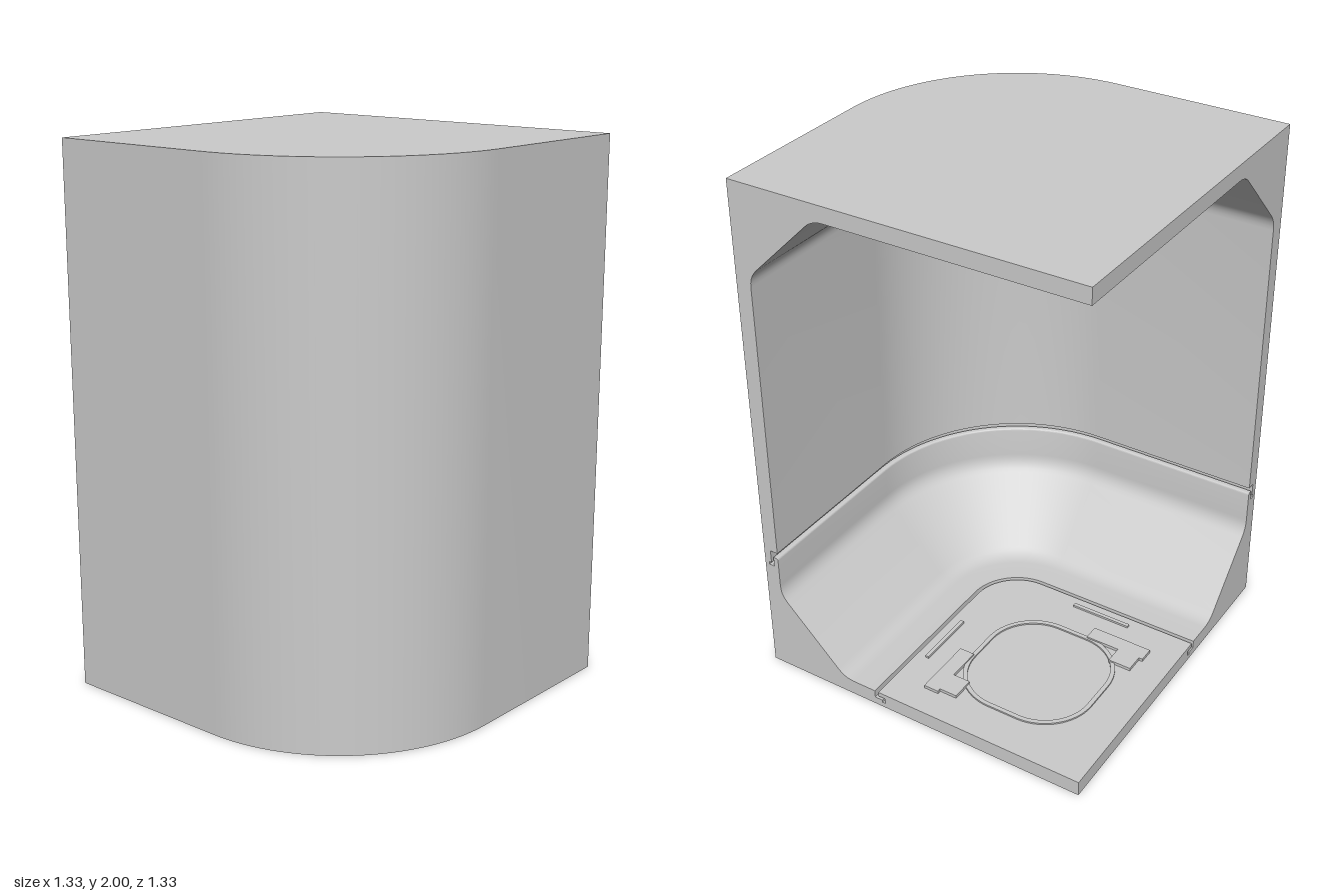
import * as THREE from 'three';
import { toCreasedNormals } from 'three/addons/utils/BufferGeometryUtils.js';

const H = 0.667;      // half width, also the radius of the rounded corner
const TOP = 2, T = 0.06; // height and wall thickness
const REACH = 0.56;   // how far the swept shell reaches inward
const material = new THREE.MeshStandardMaterial({ color: 0xcccccc });

function add(group, name, geometry) {
  const mesh = new THREE.Mesh(geometry, material);
  mesh.name = name;
  group.add(mesh);
}

// Closed section [inward distance, height, optional corner rounding], counter-clockwise
function roundedProfile(points) {
  const out = [];
  points.forEach(([d, y, r], i) => {
    const p = new THREE.Vector2(d, y);
    if (!r) return out.push(p);
    const towards = (q) => new THREE.Vector2(q[0], q[1]).sub(p).setLength(r).add(p);
    const a = towards(points[i - 1]), b = towards(points[i + 1]);
    out.push(...new THREE.QuadraticBezierCurve(a, p, b).getPoints(5));
  });
  return out;
}

// Sweep the section along two straight walls joined by a quarter-round corner
function sweepShell(profile) {
  const stations = [{ x: -H, z: H, a: 0 }];
  for (let i = 0; i <= 32; i++) {
    const a = (i / 32) * Math.PI / 2;
    stations.push({ x: H * Math.sin(a), z: H * Math.cos(a), a });
  }
  stations.push({ x: H, z: -H, a: Math.PI / 2 });

  const pos = [], idx = [], n = profile.length;
  for (const s of stations) {
    for (const p of profile) pos.push(s.x - Math.sin(s.a) * p.x, p.y, s.z - Math.cos(s.a) * p.x);
  }
  for (let s = 0; s < stations.length - 1; s++) {
    for (let i = 0; i < n; i++) {
      const a = s * n + i, b = s * n + (i + 1) % n;
      idx.push(a, b, b + n, a, b + n, a + n);
    }
  }
  // Cut faces at both ends
  const last = (stations.length - 1) * n;
  for (const [a, b, c] of THREE.ShapeUtils.triangulateShape(profile, [])) {
    idx.push(a, c, b, last + a, last + b, last + c);
  }
  const g = new THREE.BufferGeometry();
  g.setAttribute('position', new THREE.Float32BufferAttribute(pos, 3));
  g.setIndex(idx);
  return toCreasedNormals(g, 0.4);
}

// Horizontal slab from a plan outline measured from the cut corner
function slab(shape, y0, y1) {
  const g = new THREE.ExtrudeGeometry(shape, { depth: y1 - y0, bevelEnabled: false, curveSegments: 16 });
  g.rotateX(Math.PI / 2).translate(-H, y1, -H);
  return toCreasedNormals(g, 0.4);
}

function cornerPlate(size, r) {
  const s = new THREE.Shape();
  s.moveTo(0, 0).lineTo(size, 0).lineTo(size, size - r);
  s.absarc(size - r, size - r, r, 0, Math.PI / 2, false);
  s.lineTo(0, size);
  return s;
}

function roundedSquare(Type, c, h, r) {
  const s = new Type();
  [[1, 1], [-1, 1], [-1, -1], [1, -1]].forEach(([i, j], k) => {
    s.absarc(c + i * (h - r), c + j * (h - r), r, k * Math.PI / 2, (k + 1) * Math.PI / 2, false);
  });
  return s;
}

export function createModel() {
  const group = new THREE.Group();
  group.name = 'housingSection';

  // Outer wall with chamfered inside edges and interlocking seams
  add(group, 'wallShell', sweepShell(roundedProfile([
    [0, 0], [REACH, 0], [REACH, T],
    // floor seam
    [0.485, T], [0.485, 0.042], [0.515, 0.042], [0.515, 0.02],
    [0.503, 0.02], [0.503, 0.03], [0.47, 0.03], [0.47, T],
    [0.335, T, 0.04], [T, 0.335, 0.04],
    // wall seam
    [T, 0.5, 0.008], [0.04, 0.5], [0.04, 0.46], [0.018, 0.46],
    [0.018, 0.472], [0.028, 0.472], [0.028, 0.525], [T, 0.525],
    [T, TOP - 0.335, 0.04], [0.335, TOP - T, 0.04],
    [REACH, TOP - T], [REACH, TOP], [0, TOP],
  ])));

  // Floor and roof inside the swept shell
  const plate = cornerPlate(2 * H - REACH, H - REACH);
  add(group, 'floorPanel', slab(plate, 0, T));
  add(group, 'roofPanel', slab(plate, TOP - T, TOP));

  // Raised rounded outline on the floor
  const ring = roundedSquare(THREE.Shape, 0.41, 0.26, 0.2);
  ring.holes.push(roundedSquare(THREE.Path, 0.41, 0.243, 0.183));
  add(group, 'floorRing', slab(ring, T - 0.005, T + 0.006));

  // T-shaped catches and thin ribs, mirrored across the diagonal: [u, w, width, depth, height]
  const details = [
    ['catchBar', 0.69, 0.23, 0.06, 0.24, 0.012],
    ['catchStem', 0.63, 0.17, 0.08, 0.09, 0.012],
    ['floorRib', 0.805, 0.37, 0.015, 0.24, 0.008],
  ];
  for (const [name, u, w, du, dw, h] of details) {
    for (const swap of [false, true]) {
      const g = swap ? new THREE.BoxGeometry(dw, 2 * h, du) : new THREE.BoxGeometry(du, 2 * h, dw);
      g.translate((swap ? w : u) - H, T, (swap ? u : w) - H);
      add(group, name, g);
    }
  }
  return group;
}
